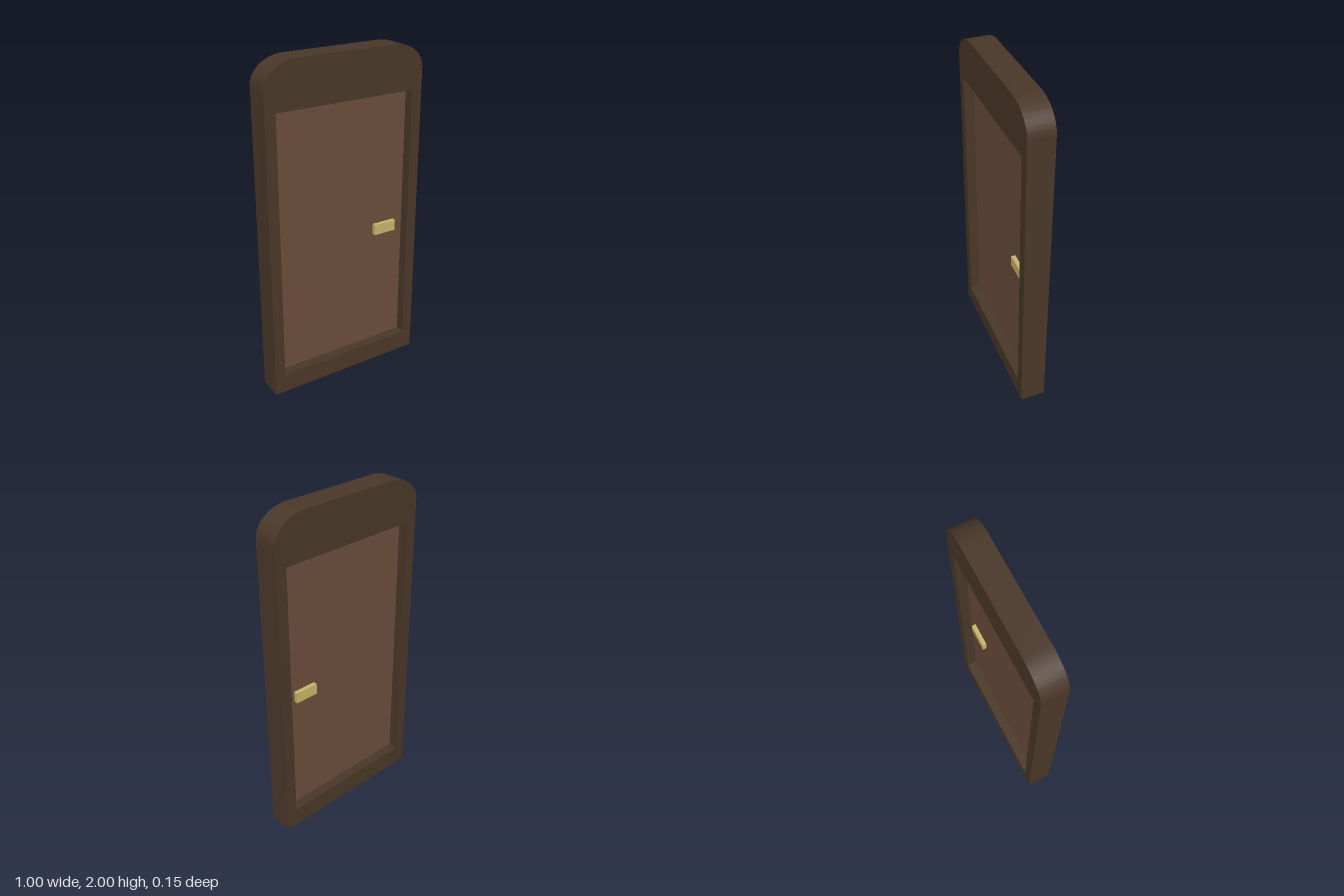
import * as THREE from 'three';
import { toCreasedNormals } from 'three/addons/utils/BufferGeometryUtils.js';

const DEPTH = 0.15;
const OPENING = { x: 0.435, bottom: 0.12, top: 1.73 };

function part(name, geometry, color) {
  const mesh = new THREE.Mesh(geometry, new THREE.MeshStandardMaterial({ color }));
  mesh.name = name;
  return mesh;
}

// Slab with elliptical upper corners and a rectangular opening
function frameGeometry() {
  const shape = new THREE.Shape();
  shape.moveTo(-0.5, 0);
  shape.lineTo(0.5, 0);
  shape.lineTo(0.5, 1.85);
  shape.absellipse(0.3, 1.85, 0.2, 0.15, 0, Math.PI / 2);
  shape.lineTo(-0.3, 2);
  shape.absellipse(-0.3, 1.85, 0.2, 0.15, Math.PI / 2, Math.PI);
  shape.closePath();

  const { x, bottom, top } = OPENING;
  const hole = new THREE.Path();
  hole.moveTo(-x, bottom);
  hole.lineTo(-x, top);
  hole.lineTo(x, top);
  hole.lineTo(x, bottom);
  hole.closePath();
  shape.holes.push(hole);

  const geometry = new THREE.ExtrudeGeometry(shape, { depth: DEPTH, bevelEnabled: false, curveSegments: 16 });
  geometry.translate(0, 0, -DEPTH / 2);
  return toCreasedNormals(geometry, Math.PI / 6);
}

export function createModel() {
  const door = new THREE.Group();
  door.name = 'door';

  door.add(part('frame', frameGeometry(), 0x4a3829));

  // Thin panel recessed equally from both sides
  const height = OPENING.top - OPENING.bottom;
  const panel = part('panel', new THREE.BoxGeometry(OPENING.x * 2, height, 0.03), 0x6b4d3b);
  panel.position.y = OPENING.bottom + height / 2;
  door.add(panel);

  // A handle plate on each face
  for (const [name, side] of [['frontHandle', 1], ['backHandle', -1]]) {
    const handle = part(name, new THREE.BoxGeometry(0.146, 0.066, 0.025), 0xc9b56b);
    handle.position.set(0.297, 0.892, side * 0.0275);
    door.add(handle);
  }
  return door;
}
